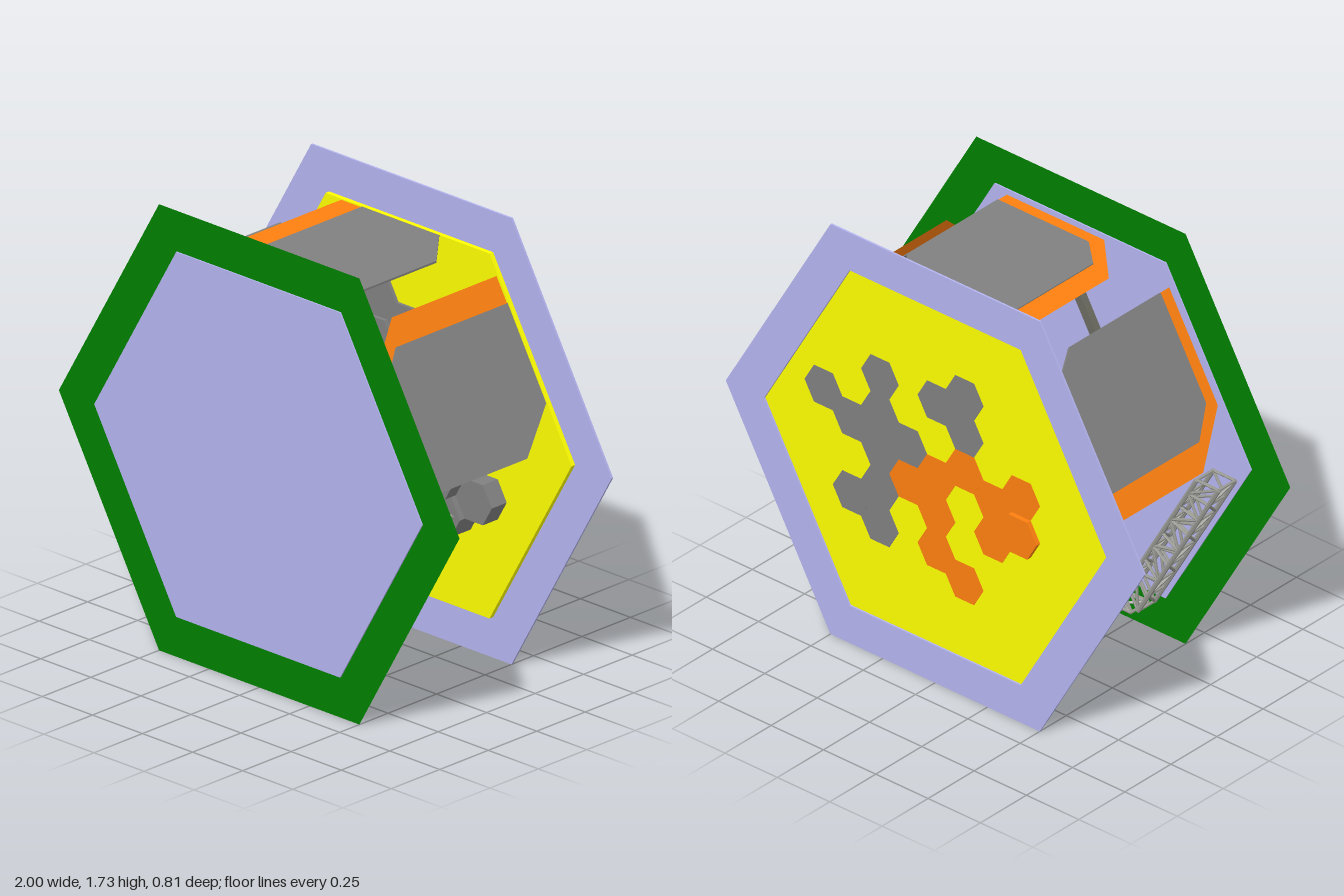
import * as THREE from 'three';

const CY = Math.sqrt(3) / 2; // height of the hexagon centre
const mat = (color) => new THREE.MeshStandardMaterial({ color, side: THREE.DoubleSide, flatShading: true });
const green = mat(0x008000), lavender = mat(0xb4b4f0), yellow = mat(0xffff00);
const orange = mat(0xff8010), grey = mat(0x808080), steel = mat(0x9a9a94), dark = mat(0x6a6a60);

const hexPoints = (r) => Array.from({ length: 6 }, (_, i) =>
  new THREE.Vector2(r * Math.cos(i * Math.PI / 3), r * Math.sin(i * Math.PI / 3)));
const polygon = (pts) => new THREE.Shape(pts.map(([x, y]) => new THREE.Vector2(x, y)));

function hexShape(r, hole) {
  const s = new THREE.Shape(hexPoints(r));
  if (hole) s.holes.push(new THREE.Path(hexPoints(hole).reverse()));
  return s;
}

function add(parent, geometry, material, name) {
  const m = new THREE.Mesh(geometry, material);
  m.name = name;
  parent.add(m);
  return m;
}

// Hexagonal slab or prism between two depths
function hexSlab(parent, shape, z0, z1, material, name, x = 0, y = 0) {
  const g = new THREE.ExtrudeGeometry(shape, { depth: z1 - z0, bevelEnabled: false });
  return add(parent, g.translate(x, y, z0), material, name);
}

// Round rod between two points
function rod(parent, a, b, r, name) {
  const p = new THREE.Vector3(...a), q = new THREE.Vector3(...b);
  const d = q.clone().sub(p);
  const m = add(parent, new THREE.CylinderGeometry(r, r, d.length(), 6), steel, name);
  m.position.copy(p).add(q).multiplyScalar(0.5);
  m.quaternion.setFromUnitVectors(new THREE.Vector3(0, 1, 0), d.normalize());
}

// Chamfered side panel: flat orange backing with a grey plate on it
function sidePanel() {
  const g = new THREE.Group();
  g.name = 'sidePanel';
  const back = new THREE.ShapeGeometry(polygon([[-0.325, -0.36], [0.165, -0.36], [0.325, -0.18],
    [0.325, 0.365], [-0.14, 0.365], [-0.325, 0.18]]));
  add(g, back.rotateX(Math.PI / 2).translate(0, 0.708, 0), orange, 'panelBorder');
  const plate = new THREE.ExtrudeGeometry(polygon([[-0.22, -0.36], [0.165, -0.36], [0.325, -0.18],
    [0.325, 0.315], [-0.11, 0.315], [-0.22, 0.215]]), { depth: 0.008, bevelEnabled: false });
  add(g, plate.rotateX(Math.PI / 2).translate(0, 0.712, 0), grey, 'panelPlate');
  return g;
}

// Square lattice truss with mitred ends, lying along one lower side
function truss() {
  const g = new THREE.Group();
  g.name = 'truss';
  const outer = -0.703, inner = -0.612, zs = [0.235, 0.325], bays = 8;
  const point = (i, y, z) => [(i / bays - 0.5) * 2 * (y === outer ? 0.385 : 0.333), y, z];
  const corners = [[outer, zs[0]], [outer, zs[1]], [inner, zs[1]], [inner, zs[0]]];
  corners.forEach((c, k) => {
    const n = corners[(k + 1) % 4];
    rod(g, point(0, ...c), point(bays, ...c), 0.009, 'chord');
    for (let i = 0; i <= bays; i++) {
      rod(g, point(i, ...c), point(i, ...n), 0.006, 'rung');
      if (i < bays) {
        const [p, q] = i % 2 ? [c, n] : [n, c];
        rod(g, point(i, ...p), point(i + 1, ...q), 0.006, 'brace');
      }
    }
  });
  return g;
}

export function createModel() {
  const model = new THREE.Group();
  const body = new THREE.Group();
  body.name = 'hexBody';
  body.position.y = CY;
  model.add(body);

  // Front wall and its flat rim
  hexSlab(body, hexShape(0.818), 0.392, 0.404, lavender, 'frontWall');
  add(body, new THREE.ShapeGeometry(hexShape(1, 0.818)).translate(0, 0, 0.398), green, 'frontRim');

  // Back wall and its rim
  hexSlab(body, hexShape(0.818), -0.386, -0.367, yellow, 'backWall');
  hexSlab(body, hexShape(1, 0.818), -0.394, -0.386, lavender, 'backRim');

  // Panels on the three upper sides, trusses on the three lower sides
  for (const k of [-1, 0, 1]) {
    const panel = sidePanel(), frame = truss();
    panel.rotation.z = frame.rotation.z = k * Math.PI / 3;
    body.add(panel, frame);
  }

  // Two offset bars joined by a crosspiece
  const bars = new THREE.Group();
  bars.name = 'linkedBars';
  bars.rotation.z = -Math.PI / 6;
  for (const [x, y, w, h] of [[0.255, -0.18, 0.035, 0.58], [-0.355, 0.215, 0.035, 0.6], [-0.05, 0.07, 0.61, 0.03]])
    add(bars, new THREE.BoxGeometry(w, h, 0.03).translate(x, y, 0.264), dark, 'bar');
  body.add(bars);

  // Clustered hexagonal columns: grid column, half-row, front depth
  const columns = (list, material, name) => {
    for (const [c, r, front, rear = -0.3868] of list)
      hexSlab(body, hexShape(0.09), rear, front, material, name, c * 0.135, r * 0.078);
  };
  columns([[4, 2, -0.29], [3, 1, -0.27], [2, 4, -0.24], [2, 2, -0.28], [2, 0, -0.27], [1, 1, -0.24],
    [-1, 5, -0.355], [0, 4, -0.355], [-1, 3, -0.34], [3, -3, -0.29], [2, -2, -0.235], [2, -4, -0.265]],
  grey, 'greyColumn');
  columns([[1, -1, -0.235], [0, 0, -0.235], [0, -2, -0.21], [-1, 1, -0.26], [0, -4, -0.27], [-1, -5, -0.29],
    [-2, 0, -0.265], [-2, -2, -0.26], [-3, 1, -0.265], [-3, -1, -0.265, -0.405]],
  orange, 'orangeColumn');

  return model;
}
